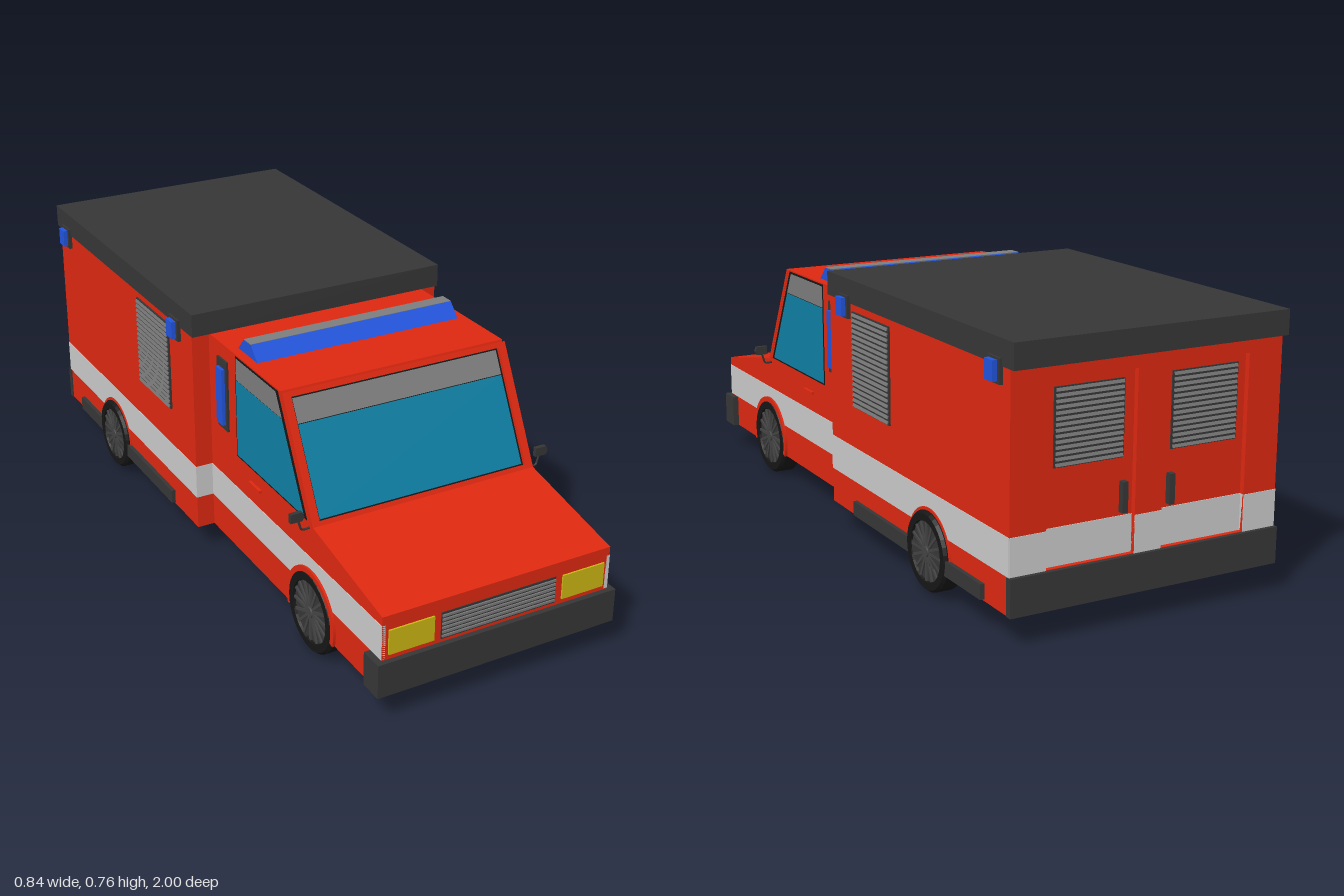
import * as THREE from 'three';

const mat = (color, side = THREE.FrontSide) => new THREE.MeshStandardMaterial({ color, side });

export function createModel() {
  const model = new THREE.Group();
  const red = mat(0xdd2810), dark = mat(0x363636), black = mat(0x161616), silver = mat(0xbcbcbc);
  const blue = mat(0x2255dd), glass = mat(0x0f7fa3), tint = mat(0x7d7d7d), yellow = mat(0xcab512);
  const steel = mat(0x777777), rimMat = mat(0x444444);

  const add = (name, geo, material, parent = model) => {
    const m = new THREE.Mesh(geo, material);
    m.name = name;
    parent.add(m);
    return m;
  };
  // Box given by its minimum and maximum corners
  const box = (name, material, x0, x1, y0, y1, z0, z1, parent) => {
    const m = add(name, new THREE.BoxGeometry(Math.abs(x1 - x0), y1 - y0, z1 - z0), material, parent);
    m.position.set((x0 + x1) / 2, (y0 + y1) / 2, (z0 + z1) / 2);
    return m;
  };
  // The same box on both sides
  const pair = (name, material, x0, x1, ...rest) => {
    box(name + 'Left', material, x0, x1, ...rest);
    box(name + 'Right', material, -x1, -x0, ...rest);
  };
  const outline = pts => new THREE.Shape(pts.map(p => new THREE.Vector2(...p)));
  const rect = (x0, x1, y0, y1) => outline([[x0, y0], [x1, y0], [x1, y1], [x0, y1]]);
  const extrude = (shape, depth) => new THREE.ExtrudeGeometry(shape, { depth, bevelEnabled: false, curveSegments: 24 });
  // Side profile of (z, y) points, extruded across x
  const prism = (name, material, shape, x0, x1) =>
    add(name, extrude(shape, x1 - x0).rotateY(-Math.PI / 2).translate(x1, 0, 0), material);
  const prismPair = (name, material, shape, x0, x1) => {
    prism(name + 'Left', material, shape, x0, x1);
    prism(name + 'Right', material, shape, -x1, -x0);
  };

  // Cab
  const W = 0.345, B = 0.397;
  prism('cab', red, outline([[0.985, 0.08], [0.985, 0.305], [0.635, 0.375], [0.624, 0.369],
    [0.459, 0.684], [0.457, 0.69], [0.02, 0.69], [0.02, 0.08]]), -W, W);

  // Windscreen set into a sloping frame
  const tilt = Math.atan2(0.165, 0.315);
  const screen = new THREE.Group();
  screen.name = 'windscreen';
  screen.position.set(0, 0.3694, 0.6244);
  screen.rotation.x = -tilt;
  model.add(screen);
  const frame = rect(-W, W, 0, 0.3556);
  frame.holes.push(rect(-0.322, 0.322, 0.012, 0.341));
  add('windscreenFrame', extrude(frame, 0.012), red, screen);
  box('windscreenSeal', black, -0.322, 0.322, 0.012, 0.341, 0, 0.001, screen);
  box('windscreenGlass', glass, -0.316, 0.316, 0.016, 0.267, 0, 0.003, screen);
  box('windscreenTint', tint, -0.316, 0.316, 0.269, 0.337, 0, 0.003, screen);

  // Side windows
  prismPair('windowSeal', black, outline([[0.604, 0.382], [0.197, 0.382], [0.197, 0.686], [0.446, 0.686]]), W - 0.01, W + 0.001);
  prismPair('windowGlass', glass, outline([[0.588, 0.387], [0.202, 0.387], [0.202, 0.615], [0.468, 0.615]]), W - 0.01, W + 0.002);
  prismPair('windowTint', tint, outline([[0.468, 0.617], [0.202, 0.617], [0.202, 0.68], [0.434, 0.68]]), W - 0.01, W + 0.002);
  pair('doorHandle', red, W, 0.354, 0.335, 0.343, 0.28, 0.345);

  // Mirrors
  for (const s of [1, -1]) {
    const path = new THREE.CatmullRomCurve3([[0.335, 0.367], [0.368, 0.367], [0.373, 0.38], [0.38, 0.402]]
      .map(([x, y]) => new THREE.Vector3(s * x, y, 0.615)));
    add('mirrorArm', new THREE.TubeGeometry(path, 10, 0.003, 6), dark);
    const c = 0.382 * s;
    const head = outline([[c - 0.02, 0.395], [c + 0.014, 0.395], [c + 0.02, 0.407], [c + 0.014, 0.421], [c - 0.02, 0.421]]);
    add('mirrorHead', extrude(head, 0.012).translate(0, 0, 0.609), dark);
  }

  // Nose: headlights, grille and bumper
  pair('headlight', yellow, 0.195, 0.327, 0.193, 0.264, 0.975, 0.99);
  box('grille', dark, -0.174, 0.174, 0.188, 0.266, 0.975, 0.987);
  for (let i = 0; i < 6; i++) {
    const y = 0.194 + i * 0.012;
    box('grilleBar', steel, -0.172, 0.172, y, y + 0.006, 0.98, 0.991);
  }
  box('frontBumper', dark, -0.363, 0.363, 0.08, 0.178, 0.93, 1);

  // Roof light bar
  prism('lightBar', blue, outline([[0.278, 0.688], [0.238, 0.729], [0.197, 0.729], [0.16, 0.688]]), -0.318, 0.318);
  box('lightBarTop', tint, -0.318, 0.318, 0.728, 0.73, 0.197, 0.238);

  // Rear body, with two door recesses in its back wall
  box('rearBody', red, -B, B, 0.08, 0.69, -0.965, 0.03);
  const wall = rect(-B, B, 0.08, 0.69);
  wall.holes.push(rect(0.04, 0.295, 0.181, 0.652), rect(-0.295, -0.04, 0.181, 0.652));
  add('backWall', extrude(wall, 0.016).translate(0, 0, -0.98), red);
  box('roof', dark, -0.4, 0.4, 0.69, 0.757, -1, 0.04);
  box('rearBumper', dark, -0.4, 0.4, 0.08, 0.18, -0.992, -0.972);

  // Slatted panel lying on a wall: a backing plate with tilted slats, facing +z
  const louvre = (name, w, h, n) => {
    const g = new THREE.Group();
    g.name = name;
    box('louvreBack', dark, -w / 2, w / 2, -h / 2, h / 2, -0.004, 0.003, g);
    for (let i = 0; i < n; i++) {
      const slat = add('slat', new THREE.BoxGeometry(w - 0.008, h / n * 0.6, 0.003), steel, g);
      slat.position.set(0, -h / 2 + (i + 0.5) * h / n, 0.005);
      slat.rotation.x = -0.35;
    }
    model.add(g);
    return g;
  };

  for (const s of [1, -1]) {
    // Back door windows and handles
    const w = louvre('backDoorLouvre', 0.2, 0.2, 14);
    w.position.set(s * 0.17, 0.53, -0.966);
    w.rotation.y = Math.PI;
    box('backDoorHandle', dark, s * 0.062, s * 0.078, 0.29, 0.37, -0.982, -0.964);
    // Side louvre
    const l = louvre('sideLouvre', 0.226, 0.27, 18);
    l.position.set(s * (B + 0.002), 0.535, -0.238);
    l.rotation.y = s * Math.PI / 2;
  }

  // Pale stripe around the sides, shoulders and back
  const y0 = 0.18, y1 = 0.28;
  pair('cabStripe', silver, W - 0.01, W + 0.0015, y0, y1, 0.03, 0.985);
  pair('bodyStripe', silver, B - 0.01, B + 0.0015, y0, y1, -0.98, 0.0315);
  pair('shoulderStripe', silver, W, B, y0, y1, 0.02, 0.0315);
  pair('backStripeOuter', silver, 0.295, B, y0, y1, -0.9815, -0.966);
  pair('backStripeDoor', silver, 0.04, 0.295, y0, y1, -0.967, -0.96);
  box('backStripeMiddle', silver, -0.04, 0.04, y0, y1, -0.9815, -0.966);

  // Side lamps and running boards
  pair('cabLampFrame', dark, W - 0.01, 0.351, 0.435, 0.647, 0.09, 0.151);
  pair('cabLamp', blue, W, 0.361, 0.452, 0.622, 0.102, 0.139);
  for (const z of [-0.075, -0.915]) {
    pair('cornerLampFrame', dark, 0.39, 0.407, 0.646, 0.71, z - 0.031, z + 0.031);
    pair('cornerLamp', blue, 0.4, 0.42, 0.652, 0.704, z - 0.019, z + 0.019);
  }
  pair('runningBoard', dark, 0.38, 0.409, 0.085, 0.126, -0.862, -0.13);

  // Wheels: turned tyre, dished rim and spokes
  const wheel = (s, xIn, xOut, y, z, r) => {
    const g = new THREE.Group();
    g.name = 'wheel';
    const h = xOut - xIn;
    const tyre = [[0.72, 0], [0.94, 0], [1, 0.12], [1, 0.86], [0.94, 1], [0.76, 1], [0.74, 0.88]]
      .map(([a, b]) => new THREE.Vector2(a * r, (b - 0.5) * h));
    add('tyre', new THREE.LatheGeometry(tyre, 32), mat(0x161616, THREE.DoubleSide), g).material.flatShading = true;
    add('rim', new THREE.CylinderGeometry(r * 0.76, r * 0.72, h * 0.88, 32), dark, g).position.y = -h * 0.05;
    add('hub', new THREE.CylinderGeometry(r * 0.13, r * 0.16, h * 0.2, 16), rimMat, g).position.y = h * 0.41;
    for (let i = 0; i < 16; i++) {
      const a = i * Math.PI / 8;
      const spoke = add('spoke', new THREE.BoxGeometry(r * 0.6, h * 0.08, r * 0.07), rimMat, g);
      spoke.position.set(Math.cos(a) * r * 0.44, h * 0.42, -Math.sin(a) * r * 0.44);
      spoke.rotation.y = a;
    }
    g.rotation.z = -s * Math.PI / 2;
    g.position.set(s * (xIn + xOut) / 2, y, z);
    model.add(g);
  };
  for (const s of [1, -1]) {
    wheel(s, 0.29, 0.355, 0.118, 0.63, 0.118);
    wheel(s, 0.352, 0.412, 0.119, -0.575, 0.109);
  }

  // Wheel arches: thin rings over each wheel
  const arch = (z, y, rIn, rOut) => {
    const sh = new THREE.Shape();
    sh.absarc(z, y, rOut, -0.3, Math.PI + 0.3, false);
    sh.absarc(z, y, rIn, Math.PI + 0.3, -0.3, true);
    return sh;
  };
  prismPair('frontArch', red, arch(0.63, 0.118, 0.112, 0.128), W - 0.005, 0.353);
  prismPair('rearArch', red, arch(-0.575, 0.119, 0.104, 0.117), B - 0.005, 0.401);

  return model;
}
